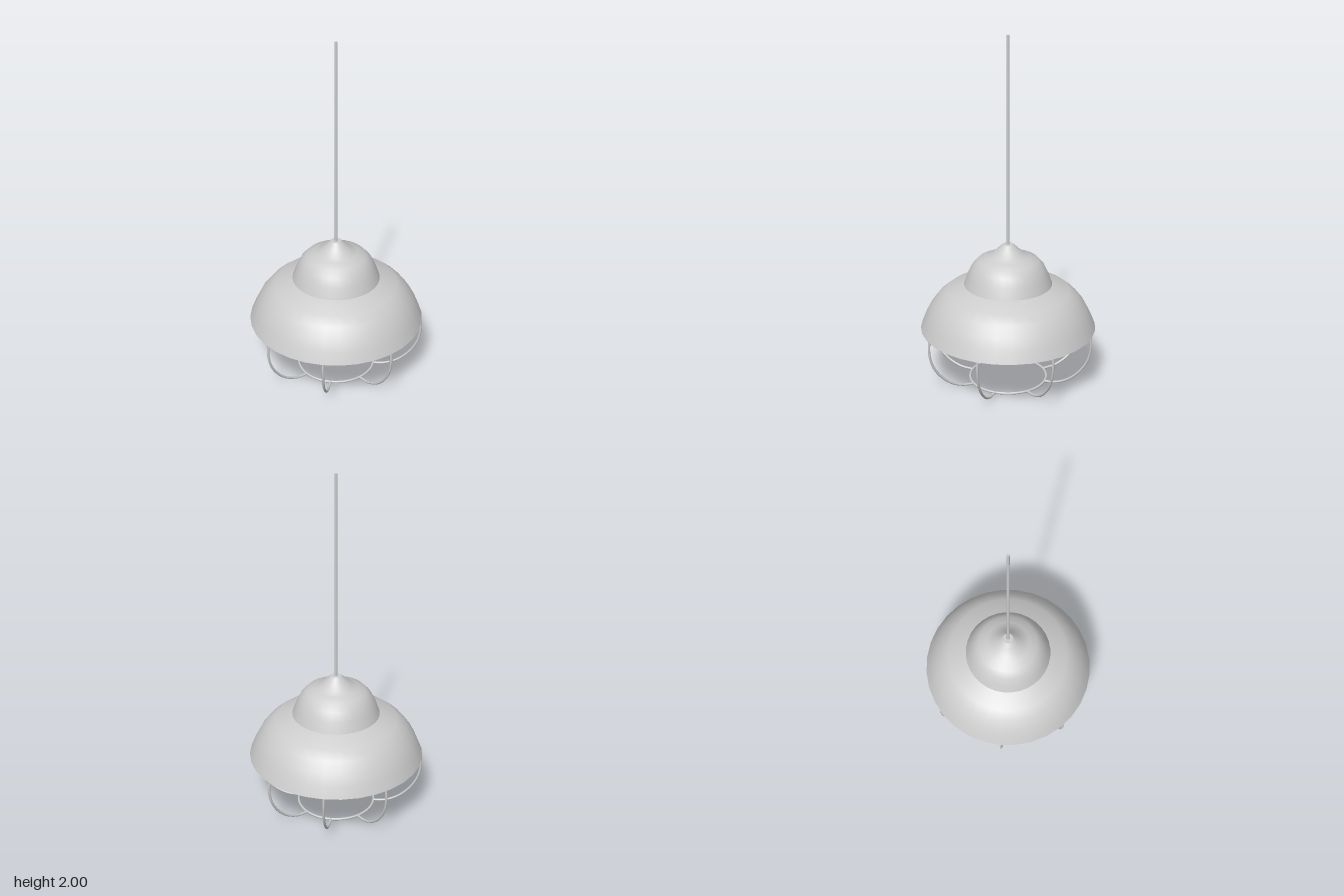
import * as THREE from 'three';

const material = new THREE.MeshStandardMaterial({ color: 0xcccccc, side: THREE.DoubleSide });

function add(parent, name, geometry) {
  const mesh = new THREE.Mesh(geometry, material);
  mesh.name = name;
  parent.add(mesh);
  return mesh;
}

// Lathe from [radius, height] pairs, listed from bottom to top
function turned(profile, segments = 32) {
  return new THREE.LatheGeometry(profile.map(([r, y]) => new THREE.Vector2(r, y)), segments);
}

export function createModel() {
  const lamp = new THREE.Group();
  lamp.name = 'cagedPendantLamp';

  // Wide open shade and the smaller dome above it, meeting in a crease
  add(lamp, 'shade', turned([
    [0.5, 0.33], [0.474, 0.395], [0.443, 0.455], [0.4, 0.51], [0.35, 0.55], [0.25, 0.59],
  ]));
  add(lamp, 'dome', turned([
    [0.25, 0.59], [0.228, 0.65], [0.203, 0.7], [0.17, 0.735],
    [0.125, 0.753], [0.09, 0.77], [0.06, 0.8], [0.03, 0.828],
  ]));
  const lid = add(lamp, 'domeLid', new THREE.CircleGeometry(0.03, 32));
  lid.rotation.x = -Math.PI / 2;
  lid.position.y = 0.828;

  // Hanging cord, running through the dome to the bulb
  const cord = add(lamp, 'cord', new THREE.CylinderGeometry(0.008, 0.008, 1.48, 12));
  cord.position.y = 1.26;

  // Pear-shaped bulb
  add(lamp, 'bulb', turned([
    [0, 0.255], [0.035, 0.261], [0.07, 0.281], [0.095, 0.31], [0.105, 0.345], [0.097, 0.382],
    [0.075, 0.42], [0.052, 0.46], [0.038, 0.5], [0.03, 0.525], [0, 0.535],
  ], 24));

  // Wire cage: ribs bent from the shade rim down to a ring
  const cage = new THREE.Group();
  cage.name = 'cage';
  lamp.add(cage);
  const ribCurve = new THREE.CatmullRomCurve3([
    [0.49, 0.335], [0.494, 0.27], [0.479, 0.19], [0.435, 0.112],
    [0.37, 0.05], [0.295, 0.015], [0.222, 0.007],
  ].map(([r, y]) => new THREE.Vector3(r, y, 0)));
  const ribGeometry = new THREE.TubeGeometry(ribCurve, 32, 0.007, 8);
  // Degrees from +x towards +z; the spacing is slightly uneven
  const ribAngles = [0, 43.5, 90, 132, 178.5, 228, 270, 311];
  ribAngles.forEach((angle, i) => {
    add(cage, `cageRib${i + 1}`, ribGeometry).rotation.y = -THREE.MathUtils.degToRad(angle);
  });
  const ring = add(cage, 'cageRing', new THREE.TorusGeometry(0.222, 0.007, 8, 48));
  ring.rotation.x = Math.PI / 2;
  ring.position.y = 0.007;

  return lamp;
}
